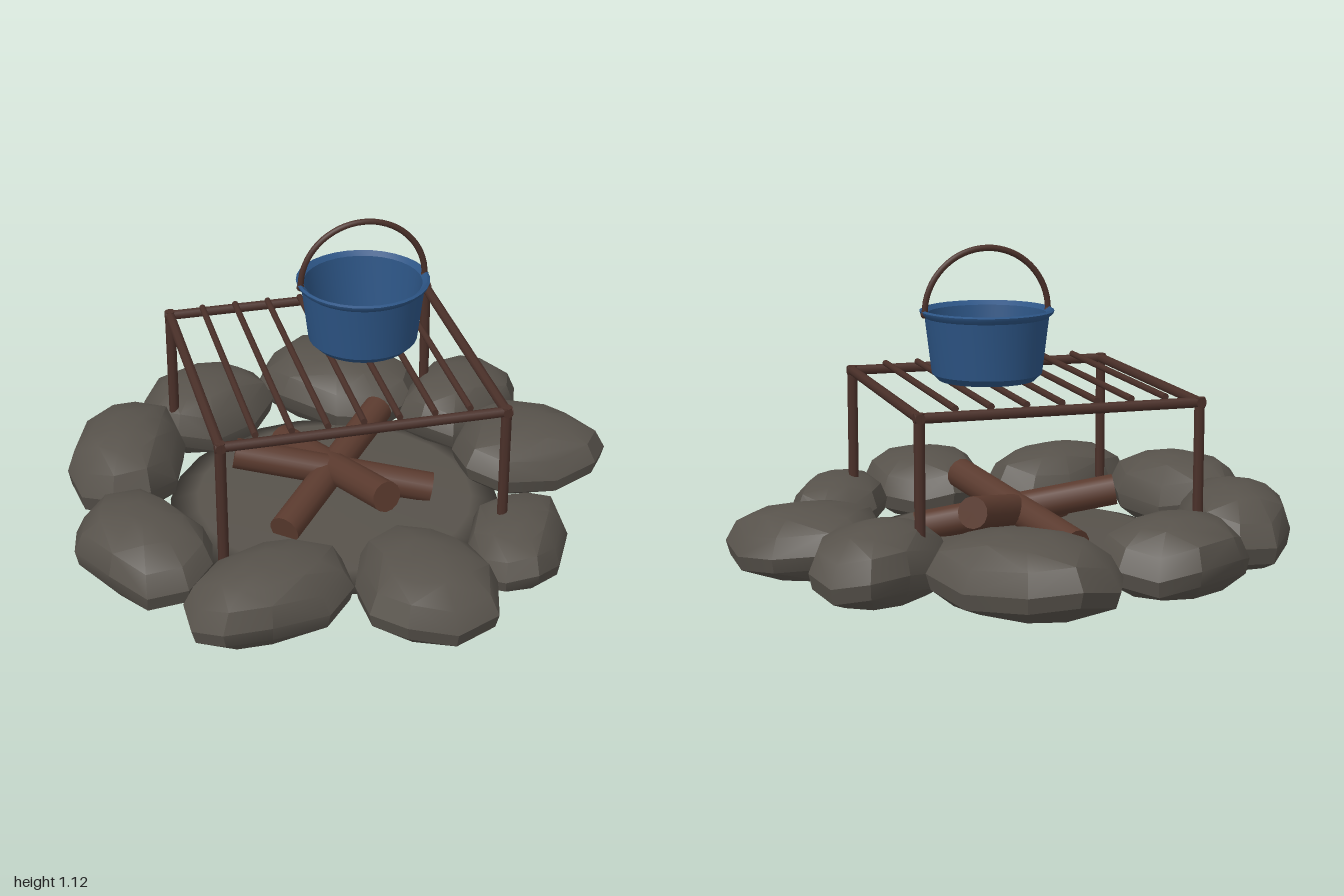
import * as THREE from 'three';
import { toCreasedNormals } from 'three/addons/utils/BufferGeometryUtils.js';
import { ConvexGeometry } from 'three/addons/geometries/ConvexGeometry.js';

const stone = new THREE.MeshStandardMaterial({ name: 'stone', color: 0x57524b });
const wood = new THREE.MeshStandardMaterial({ name: 'wood', color: 0x5a3a2e });
const iron = new THREE.MeshStandardMaterial({ name: 'rustyIron', color: 0x4a3029 });
const enamel = new THREE.MeshStandardMaterial({ name: 'blueEnamel', color: 0x2c5484 });

const V = (x, y, z) => new THREE.Vector3(x, y, z);

function add(parent, name, geometry, material) {
  const mesh = new THREE.Mesh(geometry, material);
  mesh.name = name;
  parent.add(mesh);
  return mesh;
}

// Round rod between two points
function rod(parent, name, a, b, radius, sides, material) {
  const dir = b.clone().sub(a);
  const mesh = add(parent, name, new THREE.CylinderGeometry(radius, radius, dir.length(), sides), material);
  mesh.position.copy(a).add(b).multiplyScalar(0.5);
  mesh.quaternion.setFromUnitVectors(V(0, 1, 0), dir.normalize());
  return mesh;
}

// Ring stones: centre x, centre z, half length, half width, heading, taper, height
const STONES = [
  [-0.4, -0.645, 0.275, 0.215, -0.45, 0, 0.26],
  [0.15, -0.72, 0.335, 0.24, 0.75, 0.05, 0.26],
  [0.565, -0.455, 0.265, 0.2, -0.7, 0, 0.26],
  [0.725, -0.07, 0.285, 0.24, 0.28, 0.3, 0.24],
  [0.49, 0.505, 0.27, 0.17, 2.03, 0, 0.21],
  [0.1, 0.7, 0.285, 0.235, 1.45, -0.1, 0.245],
  [-0.42, 0.63, 0.305, 0.2, -0.4, -0.1, 0.245],
  [-0.78, 0.265, 0.3, 0.21, 1.2, 0, 0.26],
  [-0.745, -0.33, 0.31, 0.205, -1.25, 0, 0.28],
];
// Stone cross-section: scale of the outline, fraction of the height
const LAYERS = [[0.72, 0], [0.95, 0.18], [1, 0.4], [0.87, 0.7], [0.6, 0.91], [0.25, 1]];

// Uneven egg-shaped outline stacked in layers and wrapped in a hull
function stoneGeometry([cx, cz, length, width, heading, taper, height], seed) {
  const c = Math.cos(heading), s = Math.sin(heading), points = [];
  const full = v => Math.sign(v) * Math.abs(v) ** 0.87;
  for (let i = 0; i < 10; i++) {
    const t = i * Math.PI / 5;
    const size = 1 + 0.04 * Math.sin(i * 2.7 + seed * 1.7) * Math.abs(Math.sin(t));
    const u = length * size * full(Math.cos(t));
    const v = width * size * full(Math.sin(t)) * (1 - taper * Math.cos(t));
    LAYERS.forEach(([k, f], j) => {
      const wobble = j > 0 && j < 4 ? 0.02 * Math.sin(i * 1.9 + seed * 2.3) : 0;
      points.push(V(cx + k * (u * c - v * s), 0.015 + (height - 0.015) * f + wobble, cz + k * (u * s + v * c)));
    });
  }
  return toCreasedNormals(new ConvexGeometry(points), 0.55);
}

function buildFirePit() {
  const pit = new THREE.Group();
  pit.name = 'firePit';
  const profile = [[0, 0], [0.45, 0.005], [0.6, 0.03], [0.5, 0.06], [0, 0.065]].map(q => new THREE.Vector2(...q));
  add(pit, 'ashBed', new THREE.LatheGeometry(profile, 24), stone).position.x = -0.04;
  STONES.forEach((s, i) => add(pit, 'ringStone' + (i + 1), stoneGeometry(s, i), stone));

  // Three crossed logs, each with one raised end
  [
    [V(-0.385, 0.225, -0.1), V(0.3, 0.09, 0.09)],
    [V(0.07, 0.225, 0.32), V(-0.15, 0.1, -0.36)],
    [V(0.2, 0.225, -0.29), V(-0.28, 0.09, 0.24)],
  ].forEach(([a, b], i) => rod(pit, 'log' + (i + 1), a, b, 0.056, 14, wood));
  return pit;
}

function buildGrate() {
  const grate = new THREE.Group();
  grate.name = 'grate';
  const xs = [-0.54, 0.44], zs = [-0.5, 0.48], y = 0.605;
  // Legs and outer frame
  for (const x of xs) {
    for (const z of zs) rod(grate, 'leg', V(x, 0.1, z), V(x, 0.622, z), 0.019, 8, iron);
    rod(grate, 'sideRail', V(x, y, zs[0] - 0.018), V(x, y, zs[1] + 0.018), 0.018, 8, iron);
  }
  for (const z of zs) rod(grate, 'crossRail', V(xs[0] - 0.018, y, z), V(xs[1] + 0.018, y, z), 0.018, 8, iron);
  // Thin cooking bars
  for (let i = 0; i < 7; i++) {
    const x = -0.42 + i * 0.1225;
    rod(grate, 'bar', V(x, 0.628, -0.49), V(x, 0.628, 0.47), 0.012, 8, iron);
  }
  return grate;
}

function buildPot() {
  const pot = new THREE.Group();
  pot.name = 'cookingPot';
  pot.position.set(0.08, 0, -0.063);
  // Outer wall, rolled rim and inside wall in one profile
  const profile = [
    [0, 0.645], [0.17, 0.645], [0.193, 0.668], [0.217, 0.865], [0.232, 0.878], [0.235, 0.888],
    [0.226, 0.893], [0.208, 0.878], [0.182, 0.68], [0.165, 0.662], [0, 0.662],
  ].map(q => new THREE.Vector2(...q));
  add(pot, 'potBody', toCreasedNormals(new THREE.LatheGeometry(profile, 32), 0.6), enamel);
  // Arched carrying handle
  const arch = [];
  for (let i = 0; i <= 16; i++) {
    const a = Math.PI * i / 16;
    arch.push(V(-0.224 * Math.cos(a), 0.88 + 0.224 * Math.sin(a), 0));
  }
  add(pot, 'handle', new THREE.TubeGeometry(new THREE.CatmullRomCurve3(arch), 32, 0.011, 8), iron);
  for (const s of [-1, 1]) {
    add(pot, 'handleEnd', new THREE.SphereGeometry(0.014, 10, 8), iron).position.set(s * 0.224, 0.88, 0);
  }
  return pot;
}

export function createModel() {
  const model = new THREE.Group();
  model.name = 'campfire';
  model.add(buildFirePit(), buildGrate(), buildPot());
  return model;
}
